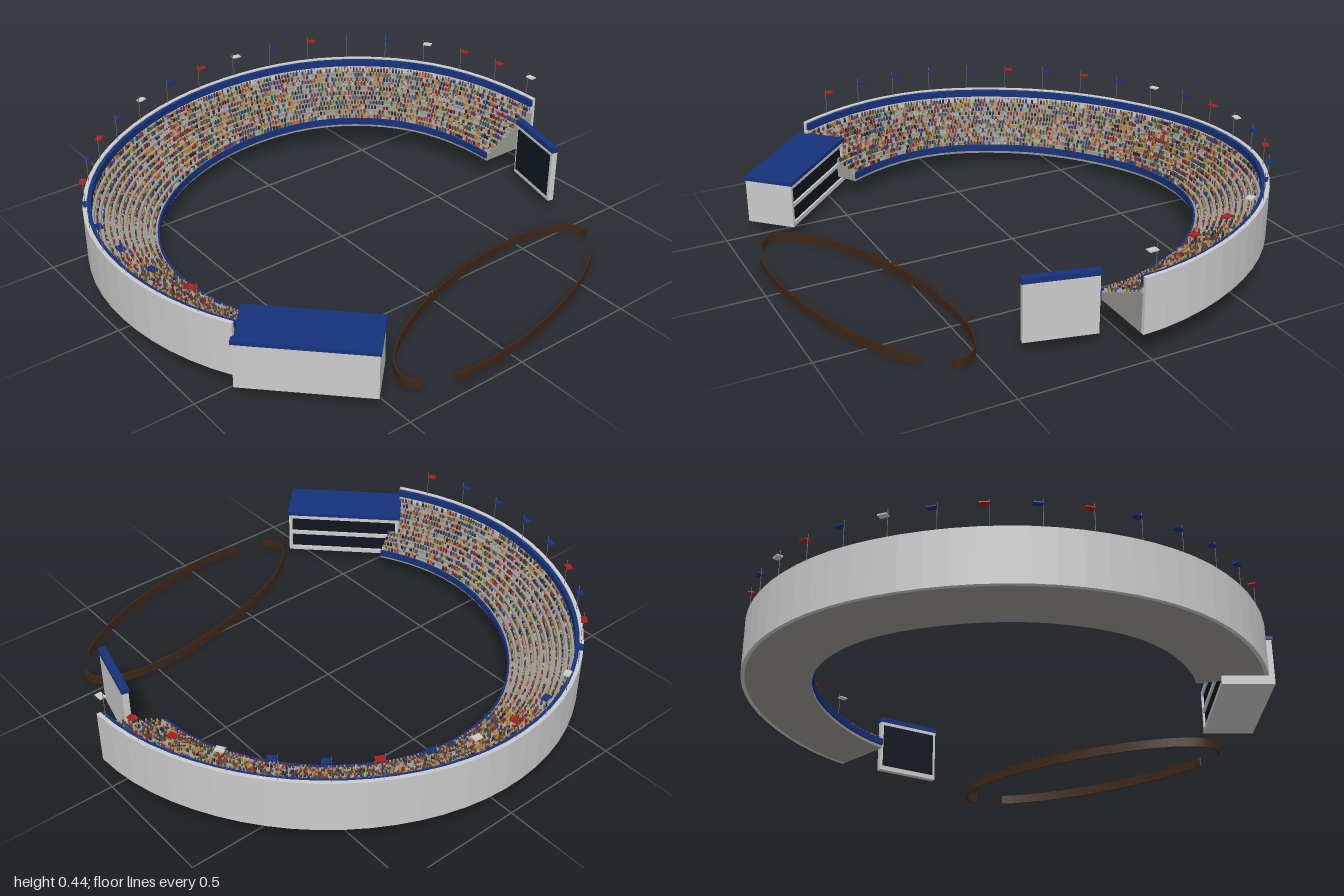
import * as THREE from 'three';
import { mergeGeometries } from 'three/addons/utils/BufferGeometryUtils.js';

const CZ = 0.04;      // centre of the bowl in z
const SWEEP = 210;    // degrees, from +x round the back to past -x
const ROWS = 11;
const R_IN = 0.735, R_OUT = 0.985, STEP = (R_OUT - R_IN) / ROWS, RISE = 0.0115;
const rad = THREE.MathUtils.degToRad;

// The ground under the stand rolls gently along the sweep
const ground = new THREE.SplineCurve([0.105, 0.122, 0.115, 0.085, 0.06, 0.062, 0.078, 0.078]
  .map((y, i) => new THREE.Vector2(i * 30, y)));
const base = deg => ground.getPoint(deg / SWEEP).y;

const onBowl = (deg, r, y) => new THREE.Vector3(
  r * Math.cos(rad(deg)), base(deg) + y, CZ - r * Math.sin(rad(deg)));

const mat = (color, flat = false) => new THREE.MeshStandardMaterial({ color, flatShading: flat });
const grey = mat(0xcccccc, true), blue = mat(0x16327c), dark = mat(0x10151f);
const concrete = mat(0x9b9993, true), wood = mat(0x3d2618);

function add(parent, name, geometry, material) {
  const mesh = new THREE.Mesh(geometry, material);
  mesh.name = name;
  parent.add(mesh);
  return mesh;
}

// Closed loft: point(i, j) gives corner j (counter-clockwise) of section i
function loft(section, count, point) {
  const n = section.length, pos = [], idx = [];
  for (let i = 0; i <= count; i++)
    for (let j = 0; j < n; j++) pos.push(...point(i / count, section[j]).toArray());
  for (let i = 0; i < count; i++)
    for (let j = 0; j < n; j++) {
      const a = i * n + j, b = i * n + (j + 1) % n;
      idx.push(a, a + n, b + n, a, b + n, b);
    }
  const end = count * n;
  for (const [a, b, c] of THREE.ShapeUtils.triangulateShape(section, []))
    idx.push(a, b, c, end + a, end + c, end + b);
  const g = new THREE.BufferGeometry();
  g.setAttribute('position', new THREE.Float32BufferAttribute(pos, 3));
  g.setIndex(idx);
  const flat = g.toNonIndexed();
  flat.computeVertexNormals();
  return flat;
}

const rect = (r0, r1, y0, y1) =>
  [[r0, y0], [r1, y0], [r1, y1], [r0, y1]].map(p => new THREE.Vector2(...p));
const ring = section => loft(section, 42, (t, p) => onBowl(t * SWEEP, p.x, p.y));
const rowHeight = row => 0.033 + row * RISE;

function seededRandom(seed) {
  return () => {
    seed = (seed * 1664525 + 1013904223) % 4294967296;
    return seed / 4294967296;
  };
}

// Stepped stand, outer wall and the two blue bands
function buildStand(root) {
  const section = [new THREE.Vector2(R_IN, 0), new THREE.Vector2(R_OUT, 0)];
  for (let row = ROWS - 1; row >= 0; row--) {
    section.push(new THREE.Vector2(R_IN + (row + 1) * STEP, rowHeight(row)));
    section.push(new THREE.Vector2(R_IN + row * STEP, rowHeight(row)));
  }
  add(root, 'seatingSteps', ring(section), concrete);
  add(root, 'outerWall', ring(rect(R_OUT, 1, 0, 0.21)), grey);
  add(root, 'upperBand', ring(rect(0.97, R_OUT, 0.177, 0.205)), blue);
  add(root, 'frontRail', ring(rect(0.728, R_IN, 0.012, 0.04)), blue);
}

// Spectators: a box body and a box head, merged by colour
function buildCrowd(root) {
  const random = seededRandom(7);
  const shirts = [0xa32222, 0x1f3f96, 0xb8912a, 0x2f6b3a, 0xb9b9b9, 0x2a2a2e, 0xb0602a, 0x5a4a72];
  const skins = [0xb98a68, 0x5f4030];
  const bodies = shirts.map(() => []), heads = skins.map(() => []);
  for (let row = 0; row < ROWS; row++) {
    const r = R_IN + (row + 0.55) * STEP;
    const count = Math.floor(r * rad(SWEEP) / 0.0135);
    for (let i = 0; i < count; i++) {
      if (random() < 0.15) continue;
      const deg = (i + 0.5) / count * SWEEP, tall = 0.013 + random() * 0.004;
      const place = (w, h, d, y) => {
        const p = onBowl(deg, r, rowHeight(row) + y);
        return new THREE.BoxGeometry(w, h, d).rotateY(rad(deg)).translate(p.x, p.y, p.z);
      };
      bodies[Math.floor(random() * shirts.length)].push(place(0.006, tall, 0.008, tall / 2));
      heads[Math.floor(random() * skins.length)].push(place(0.005, 0.006, 0.005, tall + 0.003));
    }
  }
  const crowd = new THREE.Group();
  crowd.name = 'crowd';
  bodies.forEach((g, i) => add(crowd, 'spectatorBodies', mergeGeometries(g), mat(shirts[i])));
  heads.forEach((g, i) => add(crowd, 'spectatorHeads', mergeGeometries(g), mat(skins[i])));
  root.add(crowd);
}

// Flagpoles every ten degrees along the top of the wall
function buildFlags(root) {
  const colors = { r: mat(0xa81f1f), b: blue, w: mat(0xcccccc) };
  [...'wrrwbbrbwrbwbrbrbbbbr'].forEach((c, k) => {
    const deg = 2.5 + k * 10;
    const flag = new THREE.Group();
    flag.name = 'flagpole';
    flag.position.copy(onBowl(deg, 0.99, 0.2));
    flag.rotation.y = rad(deg);
    add(flag, 'pole', new THREE.CylinderGeometry(0.0013, 0.0013, 0.12, 5), mat(0x777777))
      .position.y = 0.06;
    add(flag, 'flag', new THREE.BoxGeometry(0.024, 0.005, 0.034), colors[c])
      .position.set(0, 0.1, 0.017);
    root.add(flag);
  });
}

function box(parent, name, size, at, material) {
  add(parent, name, new THREE.BoxGeometry(...size), material).position.set(...at);
}

// Two-storey box building; its local -z side looks on to the field
function buildPavilion(root) {
  const g = new THREE.Group();
  g.name = 'pavilion';
  g.position.set(-0.642, 0, 0.655);
  g.rotation.y = -Math.PI / 4;
  box(g, 'floor', [0.48, 0.018, 0.195], [0, 0.054, 0], grey);
  box(g, 'middleFloor', [0.48, 0.016, 0.195], [0, 0.133, 0], grey);
  box(g, 'ceiling', [0.48, 0.018, 0.195], [0, 0.213, 0], grey);
  box(g, 'backWall', [0.48, 0.177, 0.175], [0, 0.1335, 0.01], grey);
  for (const s of [-1, 1])
    box(g, 'endWall', [0.014, 0.177, 0.195], [s * 0.233, 0.1335, 0], grey);
  for (const y of [0.094, 0.1725])
    box(g, 'window', [0.452, 0.064, 0.012], [0, y, -0.083], dark);
  box(g, 'roof', [0.49, 0.015, 0.205], [0, 0.2295, 0], blue);
  root.add(g);
}

// Free-standing screen board; its local -x side looks on to the field
function buildScreen(root) {
  const g = new THREE.Group();
  g.name = 'screenBoard';
  g.position.set(0.81, 0, 0.243);
  g.rotation.y = -rad(13.8);
  box(g, 'board', [0.024, 0.225, 0.265], [0, 0.1675, 0], grey);
  box(g, 'screen', [0.004, 0.185, 0.24], [-0.0135, 0.167, 0], dark);
  box(g, 'cap', [0.029, 0.02, 0.272], [0, 0.285, 0], blue);
  root.add(g);
}

// Tilted oval fence in two lengths, with pickets on the far side
function buildFence(root) {
  const tilt = rad(14.3);
  const onOval = (deg, off, y) => {
    const u = (0.59 + off) * Math.cos(rad(deg)), v = (0.203 + off) * Math.sin(rad(deg));
    return new THREE.Vector3(
      0.175 + u * Math.cos(tilt) + v * Math.sin(tilt), y,
      0.705 - u * Math.sin(tilt) + v * Math.cos(tilt));
  };
  for (const [from, to] of [[34, 142], [164, 372]]) {
    // Swept with falling angle so faces point outwards
    const g = loft(rect(-0.003, 0.003, 0, 0.037), 64,
      (t, p) => onOval(to + (from - to) * t, p.x, p.y));
    add(root, 'ovalFence', g, wood);
  }
  for (let i = 0; i < 15; i++) {
    const p = onOval(252 + i * 2.7, 0, 0.041);
    box(root, 'picket', [0.007, 0.018, 0.006], p.toArray(), wood);
  }
}

export function createModel() {
  const root = new THREE.Group();
  root.name = 'stadium';
  buildStand(root);
  buildCrowd(root);
  buildFlags(root);
  buildPavilion(root);
  buildScreen(root);
  buildFence(root);
  return root;
}
